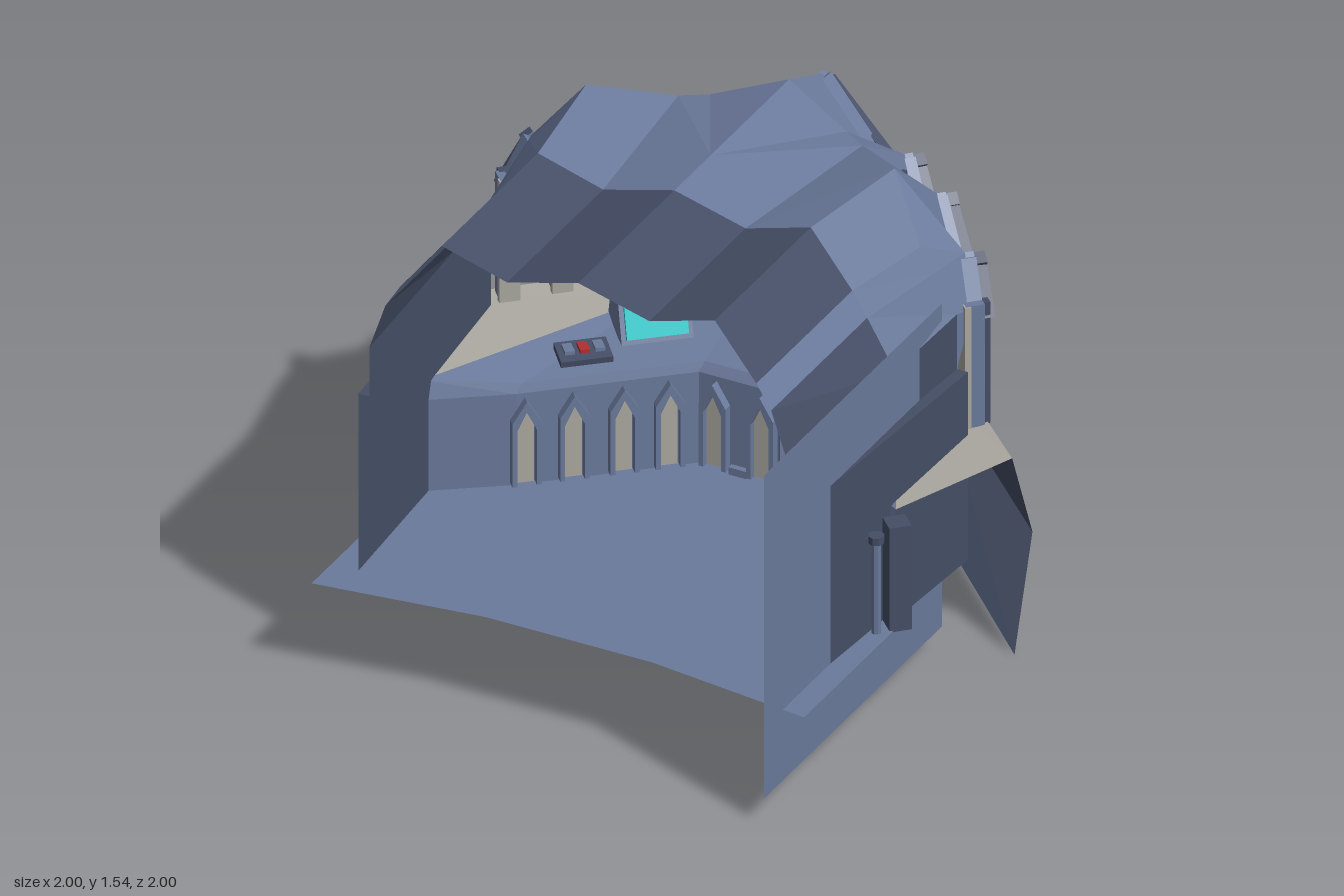
import * as THREE from 'three';

const mat = (color) => new THREE.MeshStandardMaterial({ color, flatShading: true, side: THREE.DoubleSide });
const slate = mat(0x6b7a9c), grey = mat(0xaaa89f), dark = mat(0x454e66), cyan = mat(0x10c8c8), red = mat(0xb03030);
const V = (a) => new THREE.Vector3(...a);

export function createModel() {
  const root = new THREE.Group();
  const add = (name, geo, m, p = [0, 0, 0], ry = 0, rx = 0) => {
    const o = new THREE.Mesh(geo, m);
    o.name = name;
    o.position.set(...p);
    o.rotation.set(rx, ry, 0, 'YXZ');
    root.add(o);
    return o;
  };
  const box = (name, w, h, d, m, p, ry, rx) => add(name, new THREE.BoxGeometry(w, h, d), m, p, ry, rx);
  // Surface from polygons (fanned), mirrored to both sides
  const facets = (name, polys, m) => {
    const out = [];
    for (const s of [1, -1]) for (const p of polys) for (let i = 1; i < p.length - 1; i++) {
      const t = s > 0 ? [p[0], p[i], p[i + 1]] : [p[0], p[i + 1], p[i]];
      t.forEach(([x, y, z]) => out.push(s * x, y, z));
    }
    const g = new THREE.BufferGeometry();
    g.setAttribute('position', new THREE.Float32BufferAttribute(out, 3));
    g.computeVertexNormals();
    return add(name, g, m);
  };
  const strip = (a, b) => a.slice(1).map((_, i) => [a[i], a[i + 1], b[i + 1], b[i]]);
  const level = (y, pts) => pts.map(([x, z]) => [x, y, z]);
  // Rectangular bar between two points
  const bar = (name, a, b, w, d, m) => {
    const A = V(a), B = V(b), z = B.clone().sub(A);
    const o = box(name, w, d, z.length() + 0.02, m, A.clone().add(B).multiplyScalar(0.5).toArray());
    o.lookAt(B);
    return o;
  };

  // Outer hull skirt in three levels
  const hullTop = level(0.74, [[0, -0.87], [0.21, -0.85], [0.33, -0.75], [0.99, -0.13]]);
  const hullMid = level(0.43, [[0, -1], [0.22, -0.96], [0.37, -0.85], [1, -0.24]]);
  const hullLow = level(0, [[0, -0.97], [0.21, -0.93], [0.35, -0.82], [0.95, -0.22]]);
  facets('hullUpper', strip(hullTop, hullMid), dark);
  facets('hullLower', strip(hullMid, hullLow), slate);

  // Console wall, lip and deck with a grey border under the windows
  const plan = [[0, -0.27], [0.14, -0.27], [0.56, 0.1], [0.8, 0.27]];
  const lip = level(0.68, [[0, -0.29], [0.13, -0.29], [0.55, 0.08], [0.8, 0.25]]);
  lip[3][1] = 0.71;
  const border = lip.map((p, i) => V(p).lerp(V(hullTop[i]), i < 3 ? 0.72 : 0).toArray());
  facets('consoleWall', strip(level(0.33, plan), level(0.65, plan)), slate);
  facets('consoleLip', strip(level(0.65, plan), lip), slate);
  facets('consoleDeck', strip(lip, border), slate);
  facets('deckBorder', strip(border, hullTop), grey);

  // Floor
  const floorPts = [[0.83, 0.89], [0.28, 0.82], [-0.28, 0.82], [-0.83, 0.89], [-0.83, 0.23], [-0.56, 0.1],
    [-0.14, -0.27], [0.14, -0.27], [0.56, 0.1], [0.83, 0.23]];
  const floorGeo = new THREE.ShapeGeometry(new THREE.Shape(floorPts.map(([x, z]) => new THREE.Vector2(x, -z))));
  floorGeo.rotateX(-Math.PI / 2);
  add('floor', floorGeo, slate, [0, 0.335, 0]);

  // Pointed niches along the console wall
  const lancet = (T, w, h) => {
    const s = new T();
    s.moveTo(-w, 0); s.lineTo(w, 0); s.lineTo(w, h * 0.75); s.lineTo(0, h); s.lineTo(-w, h * 0.75); s.closePath();
    return s;
  };
  const frame = lancet(THREE.Shape, 0.045, 0.29);
  frame.holes.push(lancet(THREE.Path, 0.03, 0.255));
  const frameGeo = new THREE.ExtrudeGeometry(frame, { depth: 0.03, bevelEnabled: false });
  const backGeo = new THREE.ShapeGeometry(lancet(THREE.Shape, 0.032, 0.26));
  for (const s of [1, -1]) for (const x of [0.08, 0.21, 0.315, 0.43, 0.54]) {
    const side = x > 0.14, z = side ? -0.27 + (x - 0.14) * 0.88 : -0.27, ry = side ? -s * 0.72 : 0;
    add('nicheFrame', frameGeo, slate, [s * x, 0.345, z], ry);
    add('nicheBack', backGeo, grey, [s * x, 0.345, z + 0.008], ry);
  }
  box('centreStrut', 0.06, 0.16, 0.04, slate, [0, 0.28, -0.27]);

  // Roof: dark vault in front with a light band, stepped side walls, faceted rear
  const sect = (z, w) => [[0, 1.54], [0.24, 1.475], [0.46, 1.54], [0.6, 1.36], [0.65, 1.28], [w - 0.037, 1.12],
    [w - 0.037, 0.95], [w, 0.95], [w, 0.3]].map(([x, y]) => [x, y, z]);
  const S0 = sect(0.76, 0.741), S = sect(0.15, 0.781);
  const A = [0, 1.54, -0.08], B = [0, 1.54, -0.58], C = [0.23, 1.46, -0.51], E = [0.31, 1.46, -0.46], F = [0.52, 1.54, -0.27];
  const rear = [F, [0.66, 1.36, -0.17], [0.705, 1.28, -0.17], [0.767, 1.14, -0.2], [0.767, 0.95, -0.2], [0.804, 0.95, -0.2], [0.804, 0.3, -0.2]];
  const [, G, H, I, W] = rear;
  // Window line: alternating arch tips and post tops
  const R = [[0, 1.45, -0.79], [0.23, 1.16, -0.79], [0.32, 1.3, -0.71], [0.405, 1.16, -0.635],
    [0.535, 1.33, -0.51], [0.67, 1.16, -0.385], [0.73, 1.28, -0.32], [0.785, 1.13, -0.265]];
  const vault = strip(S0, S), flank = strip(S.slice(2), rear);
  facets('roofVault', vault.filter((_, i) => i !== 3), dark);
  facets('roofBand', [vault[3]], slate);
  facets('sideWall', flank.slice(3), dark);
  facets('roofRear', [
    ...flank.slice(0, 3), [A, S[0], S[1]], [A, S[1], E], [S[1], S[2], F], [S[1], F, E], [A, E, C], [A, C, B],
    [B, C, R[1]], [B, R[1], R[0]], [C, E, R[2]], [C, R[2], R[1]], [E, F, R[4]], [E, R[4], R[3]], [E, R[3], R[2]],
    [F, G, R[6]], [F, R[6], R[5]], [F, R[5], R[4]], [G, H, R[6]], [H, I, R[7]], [H, R[7], R[6]], [I, W, R[7]],
  ], slate);

  // Window posts, arches and outer hoods
  for (const s of [1, -1]) {
    const at = ([x, y, z], out = 0, dy = 0) => [s * (x + (x > 0.01 ? out * 0.68 : 0)), y + dy, z - out * (x > 0.01 ? 0.73 : 1)];
    for (const i of [1, 3, 5, 7]) {
      const [x, , z] = R[i], ry = s * 2.39;
      box('windowPost', 0.055, 0.42, 0.06, slate, [s * x, 0.945, z], ry);
      box('windowPostRib', 0.035, 0.42, 0.03, dark, at([x, 0.945, z], 0.035), ry);
      box('windowPostTrim', 0.065, 0.42, 0.02, grey, at([x, 0.945, z], -0.025), ry);
    }
    for (let i = 0; i < 7; i++) {
      bar('windowArch', at(R[i], 0, -0.03), at(R[i + 1], 0, -0.03), 0.06, 0.05, slate);
      bar('archHood', at(R[i], 0.045, -0.055), at(R[i + 1], 0.045, -0.03), 0.04, 0.04, dark);
      bar('archTrim', at(R[i], -0.01, -0.055), at(R[i + 1], -0.01, -0.055), 0.03, 0.02, grey);
    }

    // Hanging lamp
    add('lamp', new THREE.IcosahedronGeometry(0.028, 1), dark, [s * 0.37, 1.21, -0.61]);
    add('lampRing', new THREE.TorusGeometry(0.04, 0.008, 6, 12), dark, [s * 0.37, 1.21, -0.61], -s * 0.6);
    bar('lampStem', [s * 0.37, 1.24, -0.61], [s * 0.37, 1.3, -0.61], 0.015, 0.015, dark);

    // Side console with screen, keyboard and controls
    const ry = -s * 0.72;
    const desk = new THREE.Shape([[-0.09, 0], [0.09, 0], [0.03, 0.15], [-0.04, 0.15]].map(([x, y]) => new THREE.Vector2(x, y)));
    const deskGeo = new THREE.ExtrudeGeometry(desk, { depth: 0.22, bevelEnabled: false });
    deskGeo.translate(0, 0, -0.11).rotateY(-Math.PI / 2);
    add('sideConsole', deskGeo, slate, [s * 0.35, 0.7, -0.36], ry);
    box('sideScreen', 0.19, 0.14, 0.012, cyan, [s * 0.308, 0.782, -0.312], ry, -0.38);
    box('keyboard', 0.16, 0.02, 0.1, dark, [s * 0.45, 0.71, -0.12], ry, 0.12);
    for (let k = -1; k <= 1; k++) box('key', 0.03, 0.012, 0.05, k ? slate : red, [s * (0.45 + k * 0.035), 0.727, -0.12 + k * 0.031], ry);

    // Gate posts beside the hull ends
    box('gatePost', 0.07, 0.36, 0.07, dark, [s * 0.82, 0.51, 0.28], Math.PI / 4);
    add('gateRod', new THREE.CylinderGeometry(0.015, 0.015, 0.33, 8), slate, [s * 0.8, 0.515, 0.375]);
    add('gateRodCap', new THREE.CylinderGeometry(0.025, 0.025, 0.025, 8), dark, [s * 0.8, 0.675, 0.375]);
  }

  // Centre console with screen and dome
  const mid = new THREE.Shape([[-0.2, 0], [0.2, 0], [0.13, 0.13], [-0.13, 0.13]].map(([x, y]) => new THREE.Vector2(x, y)));
  add('centreConsole', new THREE.ExtrudeGeometry(mid, { depth: 0.16, bevelEnabled: false }), slate, [0, 0.68, -0.64]);
  box('centreScreen', 0.23, 0.1, 0.02, cyan, [0, 0.762, -0.475], 0, -0.12);
  add('domeLight', new THREE.SphereGeometry(0.05, 12, 6, 0, Math.PI * 2, 0, Math.PI / 2), cyan, [0, 0.79, -0.58]);

  // Single large side panel
  const panel = new THREE.PlaneGeometry(1.13, 1.12).rotateY(Math.PI / 2);
  add('sidePanel', panel, slate, [0.753, 0.65, 0.435]);
  return root;
}
